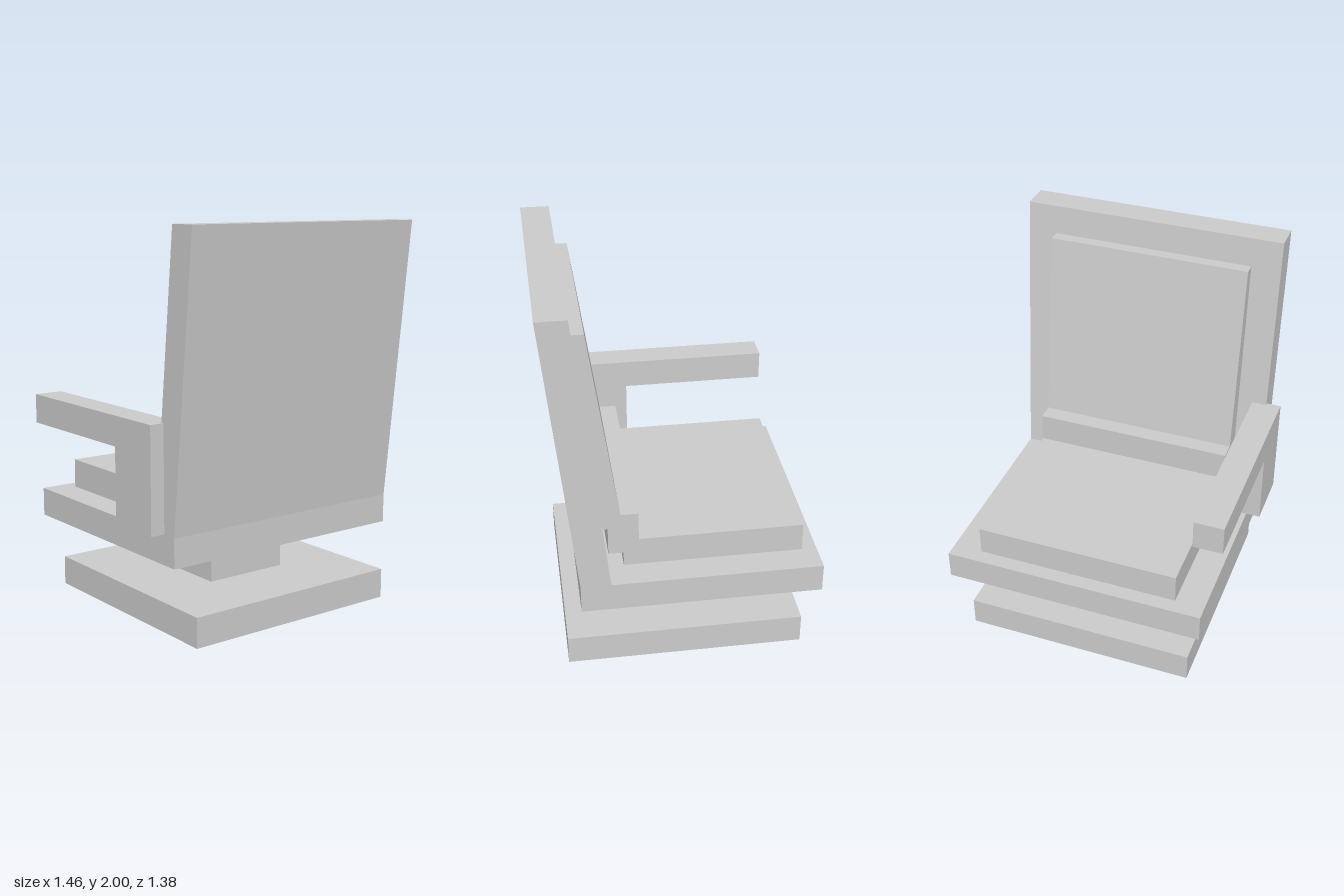
import * as THREE from 'three';

const material = new THREE.MeshStandardMaterial({ color: 0xcccccc, flatShading: true });

// Box given by its extents along each axis
function block(name, [x0, x1], [y0, y1], [z0, z1]) {
  const mesh = new THREE.Mesh(new THREE.BoxGeometry(x1 - x0, y1 - y0, z1 - z0), material);
  mesh.position.set((x0 + x1) / 2, (y0 + y1) / 2, (z0 + z1) / 2);
  mesh.name = name;
  return mesh;
}

// Side profile of [z, y] points, extruded across the width
function slab(name, [x0, x1], profile) {
  const shape = new THREE.Shape(profile.map(([z, y]) => new THREE.Vector2(-z, y)));
  const geometry = new THREE.ExtrudeGeometry(shape, { depth: x1 - x0, bevelEnabled: false });
  geometry.rotateY(Math.PI / 2);
  geometry.translate(x0, 0, 0);
  const mesh = new THREE.Mesh(geometry, material);
  mesh.name = name;
  return mesh;
}

export function createModel() {
  const chair = new THREE.Group();
  chair.name = 'chair';
  const frameX = [-0.655, 0.727];
  const cushionX = [-0.5, 0.573];
  const armX = [-0.73, -0.577];

  // Pedestal
  chair.add(block('base', [-0.577, 0.65], [0, 0.155], [-0.613, 0.613]));
  chair.add(block('column', [-0.2, 0.265], [0.155, 0.39], [-0.23, 0.23]));

  // Seat and leaning back
  chair.add(block('seat', frameX, [0.39, 0.54], [-0.69, 0.54]));
  chair.add(slab('backrest', frameX, [[0.54, 0.54], [0.69, 2], [0.54, 2], [0.387, 0.54]]));

  // Cushions
  chair.add(block('seatCushion', cushionX, [0.54, 0.693], [-0.613, 0.308]));
  chair.add(block('lumbarCushion', cushionX, [0.618, 0.848], [0.23, 0.385]));
  chair.add(slab('backCushion', cushionX, [[0.411, 0.77], [0.525, 1.85], [0.463, 1.85], [0.308, 0.77]]));

  // Single armrest: upright and rail as one L-shaped slab
  chair.add(slab('armrest', armX, [
    [0.46, 0.543], [0.46, 1.08], [-0.613, 1.08], [-0.613, 0.927], [0.157, 0.927], [0.157, 0.543],
  ]));
  return chair;
}
